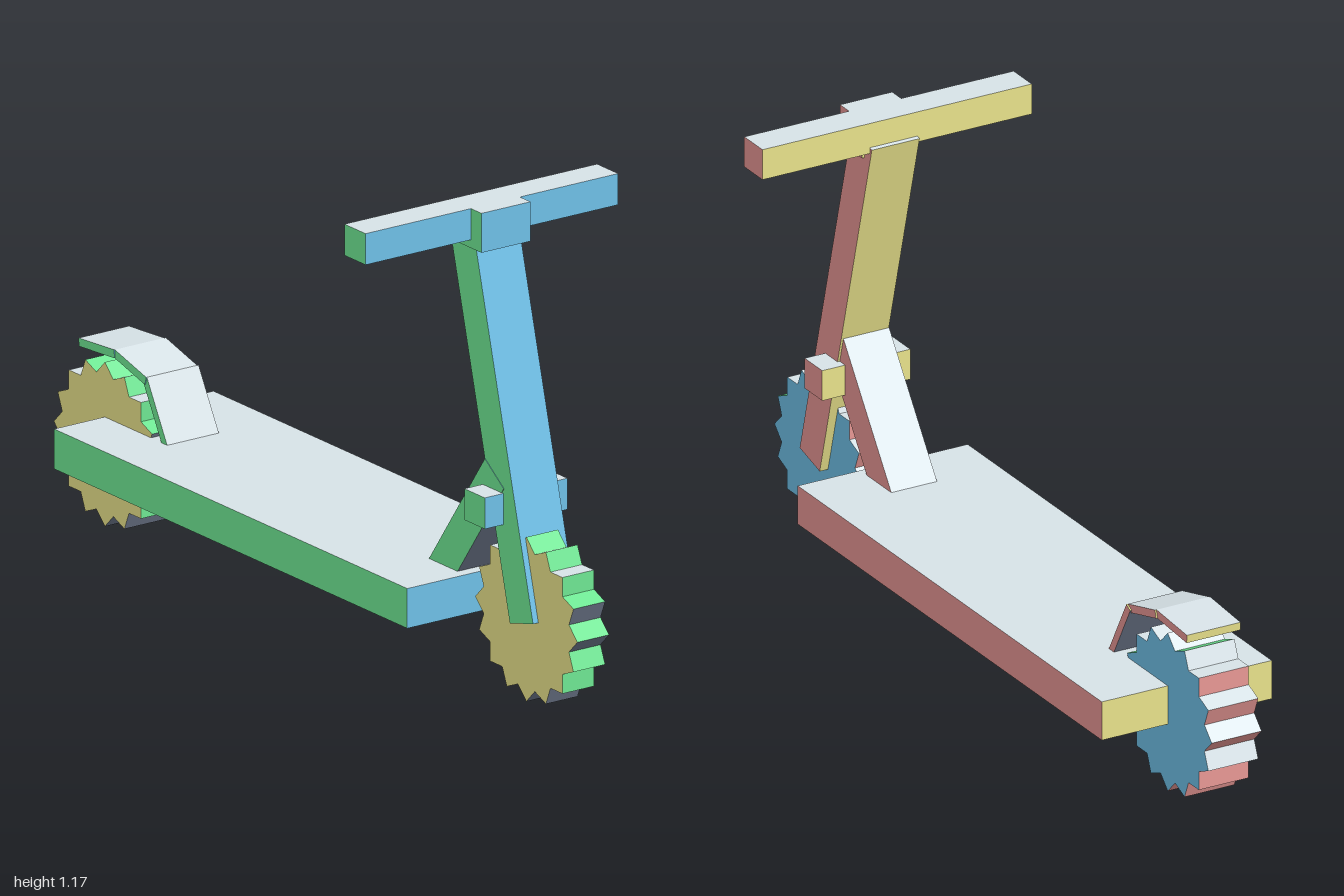
import * as THREE from 'three';

const mat = (name, color) => {
  const m = new THREE.MeshStandardMaterial({ color });
  m.name = name;
  return m;
};

export function createModel() {
  const group = new THREE.Group();
  group.name = 'scooter';

  const red = mat('red', 0xffa7a4), green = mat('green', 0x7bffa3);
  const pale = mat('pale grey', 0xecf8fd), dark = mat('dark grey', 0x6e788c);
  const blue = mat('blue', 0x7bd4ff), yellow = mat('yellow', 0xfff899);

  // One colour per box side: +x, -x, +y, -y, +z, -z
  const bodySides = [red, green, pale, dark, blue, yellow];
  const wheelSides = [blue, yellow, pale, dark, green, red];

  const box = (name, size, pos, tilt = 0, sides = bodySides, parent = group) => {
    const m = new THREE.Mesh(new THREE.BoxGeometry(...size), sides);
    m.name = name;
    m.position.set(...pos);
    m.rotation.x = tilt;
    parent.add(m);
    return m;
  };

  // Deck
  box('deck', [0.453, 0.097, 1.383], [0.006, 0.222, -0.109]);

  // Steering column, handlebar and its clamp
  box('stem', [0.127, 0.937, 0.094], [0.0085, 0.666, 0.683], -0.256);
  box('handlebar', [0.718, 0.076, 0.083], [-0.001, 1.133, 0.57]);
  box('handlebarClamp', [0.139, 0.096, 0.1], [0.009, 1.123, 0.603]);

  // Folding joint and the brace down to the deck
  box('foldingJoint', [0.235, 0.076, 0.08], [0.0095, 0.472, 0.691]);
  box('brace', [0.122, 0.091, 0.41], [0.005, 0.382, 0.577], -0.948);

  // Toothed wheels: four square blocks turned in steps of a sixteenth
  const wheel = (name, width, x, y, z) => {
    const w = new THREE.Group();
    w.name = name;
    w.position.set(x, y, z);
    const side = 0.2 * Math.SQRT2;
    for (let i = 0; i < 4; i++) {
      box('wheelBlock', [width, side, side], [0, 0, 0], -i * Math.PI / 8, wheelSides, w);
    }
    group.add(w);
  };
  wheel('frontWheel', 0.09, 0.005, 0.22, 0.8);
  wheel('rearWheel', 0.133, -0.01, 0.204, -0.8);

  // Rear mudguard: three plates along its outer line, given as [z, y]
  const line = [[-0.55, 0.262], [-0.634, 0.414], [-0.757, 0.447], [-0.896, 0.437]];
  const thick = 0.02;
  for (let i = 0; i < 3; i++) {
    const [z0, y0] = line[i], [z1, y1] = line[i + 1];
    const tilt = Math.atan2(y1 - y0, z0 - z1);
    box('mudguardPlate', [0.147 - i * 0.002, thick, Math.hypot(z1 - z0, y1 - y0)],
      [-0.004 - i * 0.003,
        (y0 + y1) / 2 - Math.cos(tilt) * thick / 2,
        (z0 + z1) / 2 - Math.sin(tilt) * thick / 2], tilt);
  }

  return group;
}
